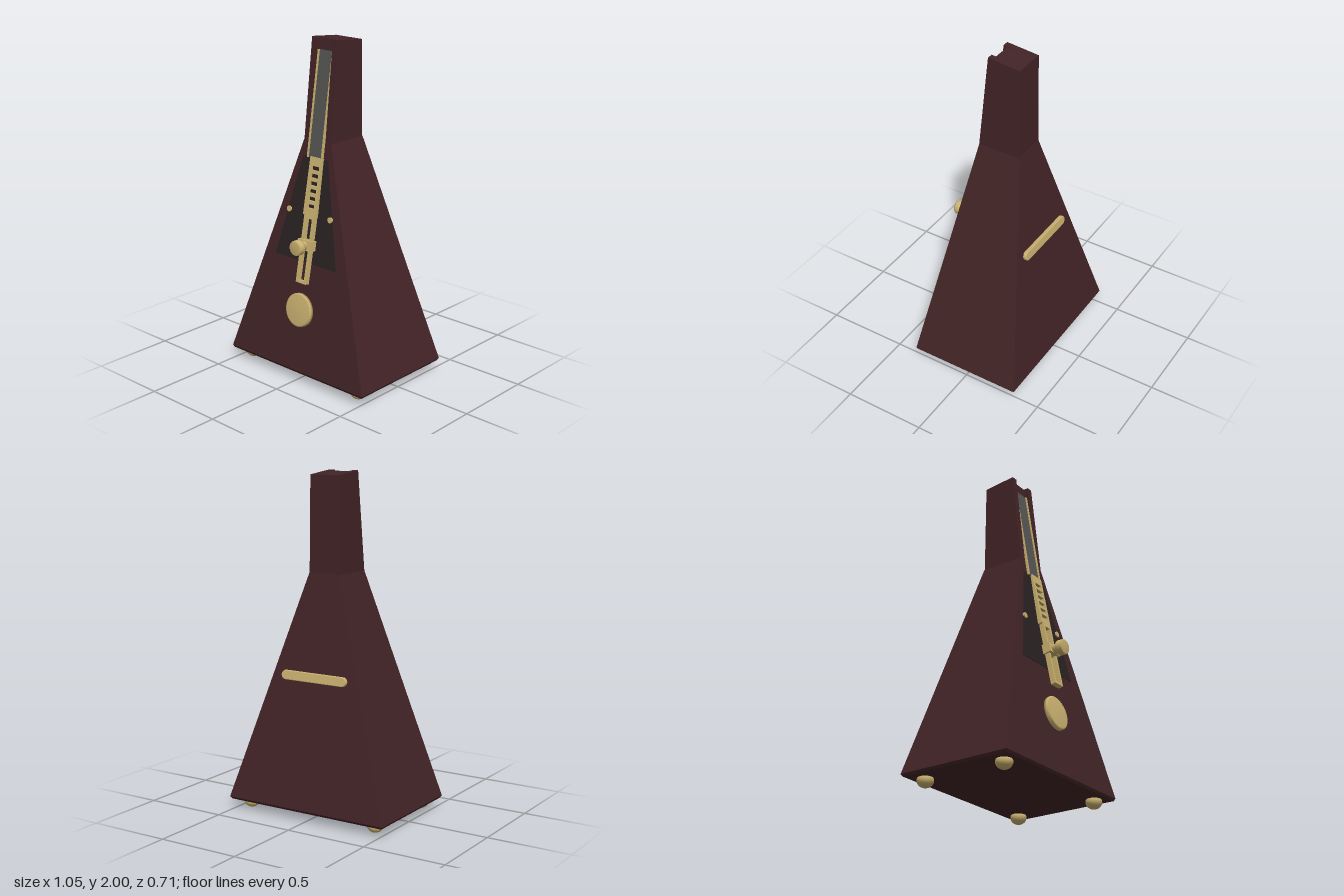
import * as THREE from 'three';

const mat = (name, color, side = THREE.FrontSide) => {
  const m = new THREE.MeshStandardMaterial({ color, side });
  m.name = name;
  return m;
};

// Six-sided block between two rectangles: [x0, x1, zBack, zFront, yBack, yFront]
function taperedBlock(lo, hi) {
  const ring = ([x0, x1, zb, zf, yb, yf]) => [[x0, yf, zf], [x1, yf, zf], [x1, yb, zb], [x0, yb, zb]];
  const a = ring(lo), b = ring(hi), pos = [];
  const quad = (p, q, r, s) => pos.push(...p, ...q, ...r, ...p, ...r, ...s);
  for (let i = 0; i < 4; i++) {
    const j = (i + 1) % 4;
    quad(a[i], a[j], b[j], b[i]);
  }
  quad(b[0], b[1], b[2], b[3]);
  quad(a[3], a[2], a[1], a[0]);
  const g = new THREE.BufferGeometry();
  g.setAttribute('position', new THREE.Float32BufferAttribute(pos, 3));
  g.computeVertexNormals();
  return g;
}

// Flat outline with optional rectangular holes, thickened along z
const rectPoints = (x0, x1, y0, y1) => [[x0, y0], [x1, y0], [x1, y1], [x0, y1]].map(p => new THREE.Vector2(...p));
function plate(points, depth, holes = []) {
  const s = new THREE.Shape(points);
  for (const h of holes) s.holes.push(new THREE.Path(rectPoints(...h).reverse()));
  return new THREE.ExtrudeGeometry(s, { depth, bevelEnabled: false }).translate(0, 0, -depth / 2);
}

export function createModel() {
  const model = new THREE.Group();
  model.name = 'metronome';
  const wood = mat('dark red wood', 0x432427);
  const brass = mat('brass', 0xcbb270);
  const grey = mat('grey scale', 0x565653);
  const dark = mat('dark panel', 0x2b2223);

  const add = (name, geometry, material, parent = model, x = 0, y = 0, z = 0) => {
    const mesh = new THREE.Mesh(geometry, material);
    mesh.name = name;
    mesh.position.set(x, y, z);
    parent.add(mesh);
    return mesh;
  };
  // Group lying on a sloping face
  const tilted = (name, y, z, angle, x = 0) => {
    const g = new THREE.Group();
    g.name = name;
    g.position.set(x, y, z);
    g.rotation.x = angle;
    model.add(g);
    return g;
  };
  const slope = Math.atan((0.35 - 0.142) / 1.35);
  const frontZ = y => 0.35 - (y - 0.07) * (0.35 - 0.142) / 1.35;

  // Case: base edge, pyramid, neck core and the two rails beside the channel
  add('baseEdge', taperedBlock([-0.517, 0.517, -0.342, 0.342, 0.055, 0.055], [-0.527, 0.527, -0.353, 0.35, 0.07, 0.07]), wood);
  add('case', taperedBlock([-0.527, 0.527, -0.353, 0.35, 0.07, 0.07], [-0.103, 0.103, -0.125, 0.142, 1.42, 1.42]), wood);
  add('neckCore', taperedBlock([-0.06, 0.06, -0.122, 0.13, 1.42, 1.42], [-0.06, 0.06, -0.12, 0.055, 1.98, 1.995]), wood);
  for (const s of [-1, 1]) {
    const lo = [0.06, 0.103].map(v => v * s).sort((a, b) => a - b);
    const hi = [0.06, 0.097].map(v => v * s).sort((a, b) => a - b);
    add('neckRail', taperedBlock([...lo, -0.122, 0.142, 1.42, 1.42], [...hi, -0.12, 0.08, 1.98, 2]), wood);
  }

  // Scale strip with brass borders in the channel
  const scaleAngle = -Math.atan((0.158 - 0.062) / 0.61);
  const scale = tilted('scale', 1.625, 0.11, scaleAngle);
  add('scaleStrip', new THREE.BoxGeometry(0.1, 0.615, 0.012), grey, scale);
  for (const s of [-1, 1]) {
    add('scaleBorder', new THREE.BoxGeometry(0.01, 0.615, 0.022), brass, scale, s * 0.054, 0, 0.002);
  }

  // Dark front panel with two pins
  const panel = tilted('frontPanel', 1.0, frontZ(1.0), -slope);
  const outline = [[-0.24, -0.285], [0.24, -0.285], [0.095, 0.33], [-0.095, 0.33]].map(p => new THREE.Vector2(...p));
  add('panelPlate', plate(outline, 0.006), dark, panel);
  for (const s of [-1, 1]) {
    add('panelPin', new THREE.CylinderGeometry(0.017, 0.017, 0.014, 16).rotateX(Math.PI / 2), brass, panel, s * 0.16, 0, 0.004);
  }

  // Pendulum: slotted upper plate, open lower frame, clamp
  const arm = tilted('pendulum', 0.97, 0.229, -0.195, 0.018);
  const slots = [];
  for (let i = 0; i < 6; i++) slots.push([-0.03, 0.03, 0.072 + i * 0.044, 0.096 + i * 0.044]);
  add('slottedPlate', plate(rectPoints(-0.048, 0.046, 0.03, 0.367), 0.026, slots), brass, arm);
  add('lowerFrame', plate(rectPoints(-0.035, 0.042, -0.367, 0.03), 0.03, [[-0.02, 0.027, -0.352, 0.012]]), brass, arm);
  add('clamp', new THREE.BoxGeometry(0.1, 0.06, 0.05), brass, arm, 0.004, -0.14, 0.006);

  // Knob on the clamp
  const knobProfile = [[0, 0], [0.03, 0], [0.03, 0.065], [0.042, 0.068], [0.045, 0.075], [0.045, 0.105], [0.04, 0.112], [0, 0.112]];
  const knob = new THREE.LatheGeometry(knobProfile.map(p => new THREE.Vector2(...p)), 20).rotateX(Math.PI / 2);
  add('knob', knob, brass, model, 0.022, 0.835, 0.248);

  // Round weight below the pendulum
  const weight = tilted('weight', 0.435, frontZ(0.435), -slope);
  const disc = [[0, 0], [0.1, 0], [0.1, 0.018], [0.09, 0.025], [0, 0.027]].map(p => new THREE.Vector2(...p));
  add('weightDisc', new THREE.LatheGeometry(disc, 28).rotateX(Math.PI / 2), brass, weight);

  // Rounded bar across the back
  const back = tilted('backBar', 0.83, -0.228, Math.atan(0.228 / 1.35));
  const bar = new THREE.Shape();
  bar.absarc(0.192, 0, 0.028, -Math.PI / 2, Math.PI / 2, false);
  bar.absarc(-0.192, 0, 0.028, Math.PI / 2, Math.PI * 1.5, false);
  add('backBarPlate', new THREE.ExtrudeGeometry(bar, {
    depth: 0.014, bevelThickness: 0.005, bevelSize: 0.004, bevelOffset: -0.004, bevelSegments: 2,
  }).translate(0, 0, -0.013), brass, back);

  // Ball feet
  for (const x of [-0.43, 0.43]) for (const z of [-0.26, 0.265]) {
    add('foot', new THREE.SphereGeometry(0.048, 20, 14).scale(1, 0.85, 1), brass, model, x, 0.041, z);
  }
  return model;
}
